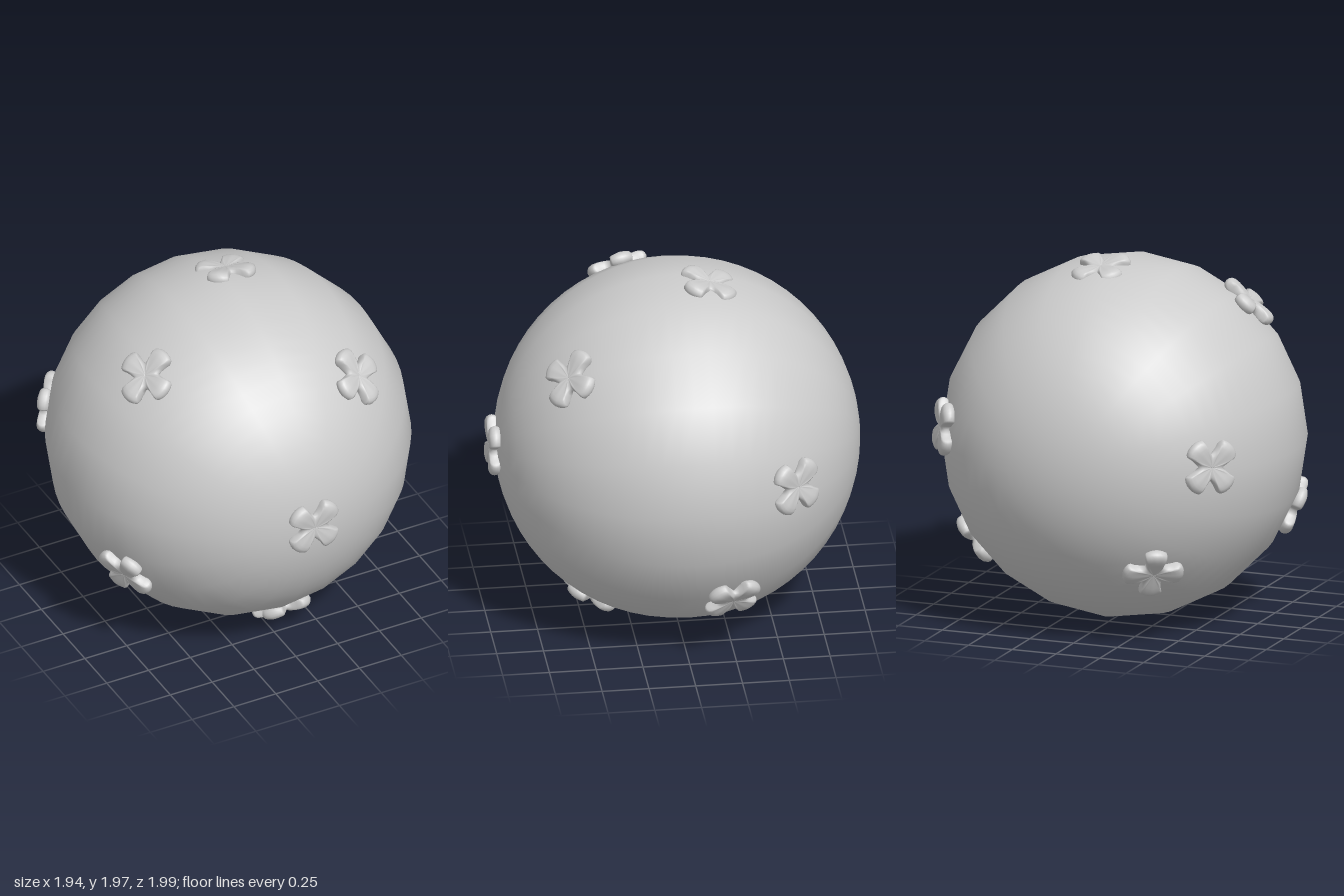
import * as THREE from 'three';

const RADIUS = 0.972;
const CENTRE = new THREE.Vector3(0, 0.98, -0.026);

// Outline of a four-petalled flower: half a petal, mirrored and turned four times
function flowerOutline() {
  const half = [[0.05, 0.05], [0.08, 0.05], [0.11, 0.054], [0.135, 0.061], [0.149, 0.056], [0.159, 0.036], [0.164, 0.018]];
  const petal = [
    ...half.map(([x, y]) => [x, -y]),
    [0.165, 0],
    ...half.slice(1).reverse(),
  ];
  const points = [];
  for (let q = 0; q < 4; q++) {
    const a = q * Math.PI / 2, c = Math.cos(a), s = Math.sin(a);
    for (const [x, y] of petal) {
      // ridge is 1 on the petal axis and 0 in the notch
      const ridge = Math.sqrt(Math.max(0, 1 - Math.abs(Math.atan2(y, x)) / (Math.PI / 4)));
      points.push({ x: x * c - y * s, y: x * s + y * c, ridge });
    }
  }
  return points;
}

// Puffy closed flower: rings run from the top centre over the rim to the bottom centre
function flowerGeometry() {
  const outline = flowerOutline(), n = outline.length, rows = 16;
  const pos = [], index = [];
  for (let j = 0; j <= rows; j++) {
    const phi = j / rows * Math.PI;
    const s = Math.sin(phi);
    const dome = Math.sqrt(Math.max(0, 1 - s ** 6)) * (j <= rows / 2 ? 1 : -1);
    for (const p of outline) {
      pos.push(p.x * s, p.y * s, 0.04 * dome * (0.5 + 0.7 * s * p.ridge));
    }
  }
  for (let j = 0; j < rows; j++) {
    for (let k = 0; k < n; k++) {
      const a = j * n + k, b = j * n + (k + 1) % n;
      if (j < rows - 1) index.push(a, a + n, b + n);
      if (j > 0) index.push(a, b + n, b);
    }
  }
  const g = new THREE.BufferGeometry();
  g.setAttribute('position', new THREE.Float32BufferAttribute(pos, 3));
  g.setIndex(index);
  g.computeVertexNormals();
  return g;
}

// Each flower: direction from the ball's centre, direction of one petal, optional facing
const FLOWERS = [
  { at: [0, 0.015, 0.97], petal: [1, 1, 0] },
  { at: [0.44, 0.61, 0.62], petal: [0.82, 0, -0.57] },
  { at: [-0.6, 0.71, 0.236], petal: [0.1, 0, 1] },
  { at: [-0.81, -0.4, 0.38], petal: [-0.8, 0.71, -0.91] },
  { at: [0.07, -0.85, 0.47], petal: [1, 0.47, 0.87] },
  { at: [0.07, 0.955, -0.165], petal: [1, 0, 1], facing: [0.07, 0.95, -0.25] },
  { at: [0.81, 0.09, -0.53], petal: [0.55, 1, 0.84] },
  { at: [0.755, -0.58, -0.2], petal: [-0.11, 0.8, -0.57] },
  { at: [-0.74, 0.04, -0.63], petal: [-0.56, 0.89, 0.94] },
  { at: [-0.43, -0.55, -0.67], petal: [-0.82, 0, 0.57] },
];

export function createModel() {
  const model = new THREE.Group();
  model.name = 'flowerBall';
  const material = new THREE.MeshStandardMaterial({ color: 0xcccccc });

  // Ball, with its poles at the front and back
  const ball = new THREE.Mesh(new THREE.SphereGeometry(RADIUS, 20, 32).rotateX(Math.PI / 2), material);
  ball.name = 'ball';
  ball.position.copy(CENTRE);
  model.add(ball);

  // Flowers set into the surface
  const geometry = flowerGeometry();
  FLOWERS.forEach(({ at, petal, facing }, i) => {
    const dir = new THREE.Vector3(...at).normalize();
    const z = new THREE.Vector3(...(facing || at)).normalize();
    const x = new THREE.Vector3(...petal).projectOnPlane(z).normalize();
    const y = new THREE.Vector3().crossVectors(z, x);
    const flower = new THREE.Mesh(geometry, material);
    flower.name = `flower${i + 1}`;
    flower.quaternion.setFromRotationMatrix(new THREE.Matrix4().makeBasis(x, y, z));
    // the top flower sits a little deeper
    flower.position.copy(CENTRE).addScaledVector(dir, facing ? RADIUS - 0.02 : RADIUS + 0.01);
    model.add(flower);
  });
  return model;
}
